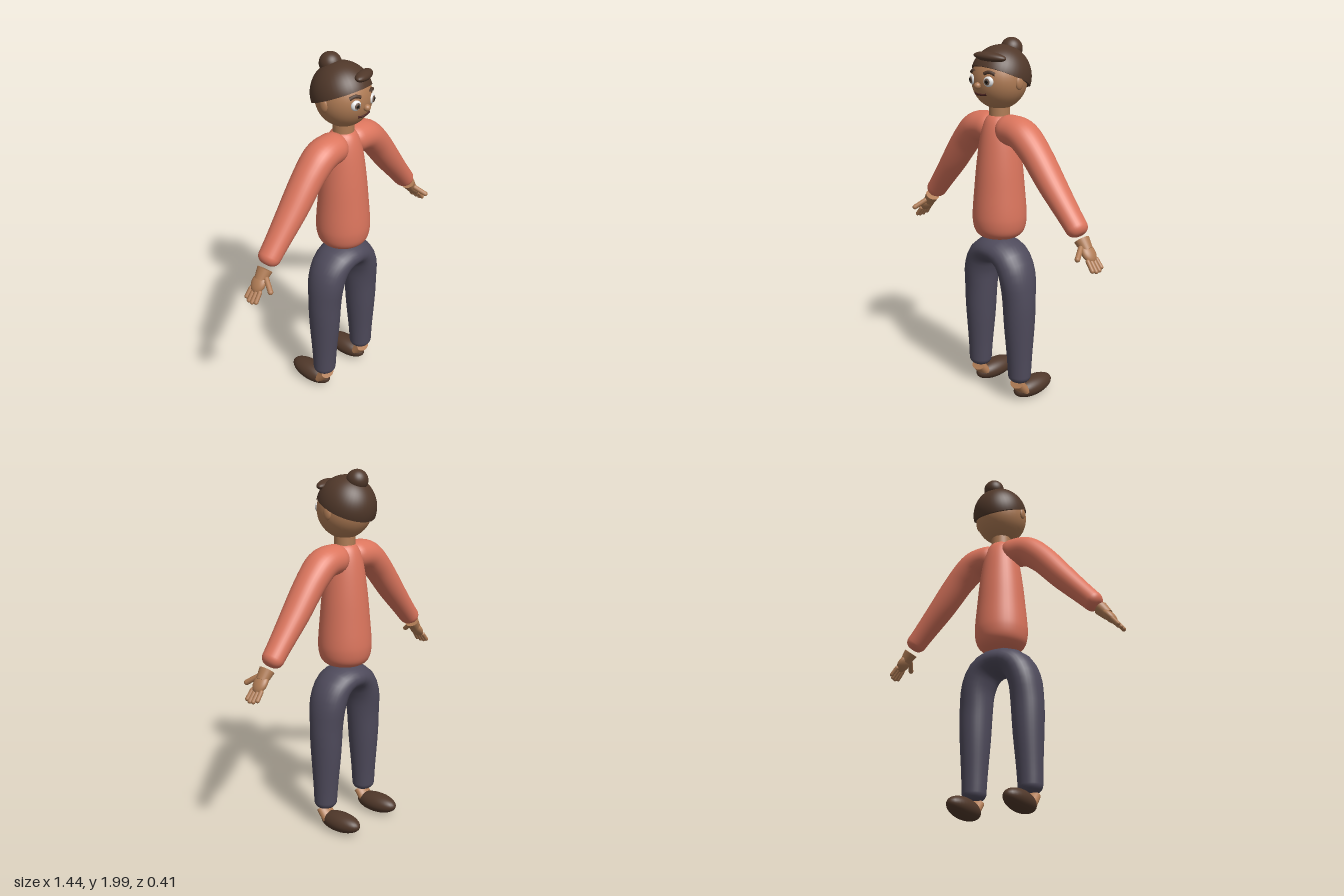
import * as THREE from 'three';

const mat = (name, color) => {
  const m = new THREE.MeshStandardMaterial({ color });
  m.name = name;
  return m;
};

// Tube along a path in a plane of constant z, with changing oval section and rounded ends.
// Each stop is [u, in-plane radius, z radius]; c0 and c1 are the end roundings.
function sweep(points, stops, c0, c1) {
  const curve = new THREE.CatmullRomCurve3(points.map((p) => new THREE.Vector3(...p)), false, 'centripetal');
  const len = curve.getLength();
  const radii = (u) => {
    let i = 0;
    while (i < stops.length - 2 && u > stops[i + 1][0]) i++;
    const [a, b] = [stops[i], stops[i + 1]];
    const t = THREE.MathUtils.smootherstep(u, a[0], b[0]) * 0.4 + 0.6 * THREE.MathUtils.clamp((u - a[0]) / (b[0] - a[0]), 0, 1);
    return [a[1] + (b[1] - a[1]) * t, a[2] + (b[2] - a[2]) * t];
  };
  // Rings as [u, inset]
  const rings = [[0, 1]];
  const steps = 8, mid = 40, u0 = c0 / len, u1 = 1 - c1 / len;
  for (let i = 0; i < steps; i++) {
    const a = (i / steps) * Math.PI / 2;
    rings.push([u0 * (1 - Math.cos(a)), c0 * (1 - Math.sin(a))]);
  }
  for (let i = 0; i <= mid; i++) rings.push([u0 + (u1 - u0) * i / mid, 0]);
  for (let i = steps - 1; i >= 0; i--) {
    const a = (i / steps) * Math.PI / 2;
    rings.push([1 - (1 - u1) * (1 - Math.cos(a)), c1 * (1 - Math.sin(a))]);
  }
  rings.push([1, 1]);
  const n = 32, pos = [], idx = [];
  rings.forEach(([u, inset], i) => {
    const p = curve.getPointAt(u), t = curve.getTangentAt(u);
    const [rn, rz] = radii(u).map((r) => Math.max(r - inset, 0));
    for (let j = 0; j < n; j++) {
      const a = (j / n) * Math.PI * 2, c = Math.cos(a) * rn;
      pos.push(p.x - t.y * c, p.y + t.x * c, p.z + Math.sin(a) * rz);
      if (i === rings.length - 1) continue;
      const k = (j + 1) % n, q = i * n, r = q + n;
      idx.push(q + j, q + k, r + k, q + j, r + k, r + j);
    }
  });
  const g = new THREE.BufferGeometry();
  g.setAttribute('position', new THREE.Float32BufferAttribute(pos, 3));
  g.setIndex(idx);
  g.computeVertexNormals();
  return g;
}

export function createModel() {
  const skin = mat('skin', 0xb07c55);
  const sweater = mat('sweater', 0xdb755d);
  const pants = mat('trousers', 0x4e4a5b);
  const brown = mat('hair and shoe brown', 0x50382a);
  const white = mat('eye white', 0xeeeeee);
  const iris = mat('iris', 0x6a5344);
  const dark = mat('pupil', 0x17130f);
  const lip = mat('mouth', 0x4a2420);

  const model = new THREE.Group();
  const Z = 0.033;
  const add = (parent, name, geo, material, pos = [0, 0, 0], scale = [1, 1, 1], rot = [0, 0, 0]) => {
    const m = new THREE.Mesh(geo, material);
    m.name = name;
    m.position.set(...pos);
    m.scale.set(...scale);
    m.rotation.set(...rot);
    parent.add(m);
    return m;
  };
  const ball = new THREE.SphereGeometry(1, 32, 24);
  const group = (name) => {
    const g = new THREE.Group();
    g.name = name;
    model.add(g);
    return g;
  };

  // Torso and neck
  const profile = [[0, 0.935], [0.07, 0.937], [0.11, 0.95], [0.135, 0.98], [0.146, 1.03], [0.146, 1.09], [0.137, 1.2],
    [0.124, 1.34], [0.105, 1.48], [0.085, 1.56], [0.06, 1.6], [0.03, 1.61], [0, 1.61]];
  const outline = new THREE.SplineCurve(profile.map((p) => new THREE.Vector2(...p))).getPoints(60);
  outline.forEach((p) => { p.x = Math.max(p.x, 0); });
  add(model, 'torso', new THREE.LatheGeometry(outline, 40), sweater, [0, 0, Z]);
  add(model, 'neck', new THREE.CylinderGeometry(0.056, 0.056, 0.12, 32), skin, [0, 1.62, Z]);

  // Trousers: one arched tube from ankle to ankle
  const leg = [[0.165, 0.122, Z + 0.002], [0.16, 0.4, Z], [0.155, 0.62, Z], [0.142, 0.74, Z], [0.105, 0.82, Z], [0.055, 0.856, Z]];
  const mirrored = leg.map(([x, y, z]) => [-x, y, z]).reverse();
  add(model, 'trousers', sweep([...leg, [0, 0.864, Z], ...mirrored],
    [[0, 0.064, 0.062], [0.28, 0.088, 0.093], [0.39, 0.086, 0.112], [0.5, 0.072, 0.124],
      [0.61, 0.086, 0.112], [0.72, 0.088, 0.093], [1, 0.064, 0.062]], 0.04, 0.04), pants);

  // Head
  const head = group('head');
  const hc = [0, 1.79, Z], hr = [0.146, 0.155, 0.148];
  add(head, 'skull', ball, skin, hc, hr);
  const onFace = (x, y, out = 0) => new THREE.Vector3(x, y,
    hc[2] + out + hr[2] * Math.sqrt(1 - (x / hr[0]) ** 2 - ((y - hc[1]) / hr[1]) ** 2));
  const strip = (pts, r) => new THREE.TubeGeometry(
    new THREE.CatmullRomCurve3(pts.map(([x, y]) => onFace(x, y, 0.001))), 20, r, 10);
  add(head, 'nose', ball, skin, [0, 1.768, 0.184], [0.019, 0.018, 0.019]);
  add(head, 'mouth', strip([[-0.045, 1.726], [-0.02, 1.721], [0, 1.722], [0.02, 1.721], [0.045, 1.726]], 0.006), lip);

  // Hair: tilted cap, bun and fringe
  const cap = [0, 1.802, 0.021], capScale = [0.154, 0.165, 0.165], tilt = 0.41;
  add(head, 'hairCap', new THREE.SphereGeometry(1, 40, 20, 0, Math.PI * 2, 0, Math.PI / 2), brown, cap, capScale, [-tilt, 0, 0]);
  add(head, 'hairCapUnderside', new THREE.CircleGeometry(1, 40), brown, cap, [0.154, 0.165, 1], [Math.PI / 2 - tilt, 0, 0]);
  add(head, 'bun', ball, brown, [0, 1.942, -0.053], [0.058, 0.058, 0.058]);
  add(head, 'fringe', ball, brown, [0.037, 1.913, 0.132], [0.092, 0.025, 0.036], [0, 0.35, -0.08]);

  for (const s of [1, -1]) {
    const side = s > 0 ? 'left' : 'right';

    // Eye, brow and ear
    const eye = group(side + 'Eye');
    eye.position.copy(onFace(s * 0.062, 1.793));
    eye.rotation.y = s * 0.3;
    add(eye, 'eyeWhite', ball, white, [0, 0, -0.004], [0.028, 0.027, 0.016]);
    add(eye, 'iris', ball, iris, [-s * 0.002, 0, 0.008], [0.017, 0.017, 0.006]);
    add(eye, 'pupil', ball, dark, [-s * 0.002, 0, 0.0125], [0.009, 0.009, 0.003]);
    add(head, side + 'Brow', strip([[s * 0.036, 1.832], [s * 0.062, 1.84], [s * 0.09, 1.829]], 0.009), brown);
    add(head, side + 'Ear', ball, skin, [s * 0.143, 1.782, 0.026], [0.014, 0.036, 0.025]);

    // Sleeve
    add(model, side + 'Sleeve', sweep(
      [[s * 0.015, 1.525, Z], [s * 0.09, 1.532, Z], [s * 0.17, 1.52, Z], [s * 0.25, 1.457, Z - 0.002], [s * 0.4, 1.28, Z - 0.006], [s * 0.585, 1.07, Z - 0.012]],
      [[0, 0.08, 0.086], [0.2, 0.082, 0.092], [0.45, 0.075, 0.083], [1, 0.053, 0.06]], 0.07, 0.042), sweater);

    // Hand: cuff of the wrist, palm, four fingers and thumb
    const hand = group(side + 'Hand');
    hand.position.set(s * 0.597, 1.052, 0.026);
    hand.rotation.z = s * 0.68;
    add(hand, 'wrist', new THREE.CylinderGeometry(0.038, 0.029, 0.06, 28), skin, [0, -0.03, 0], [1, 1, 1.12]);
    add(hand, 'palm', ball, skin, [0, -0.075, 0], [0.025, 0.055, 0.043]);
    [0.07, 0.082, 0.084, 0.076].forEach((l, i) => {
      add(hand, 'finger', new THREE.CapsuleGeometry(0.0115, l - 0.023, 6, 14), skin,
        [0, -0.105 - l / 2, -0.033 + i * 0.022], [1, 1, 1], [(1.5 - i) * 0.04, 0, 0]);
    });
    add(hand, 'thumb', new THREE.CapsuleGeometry(0.014, 0.075, 6, 14), skin, [0, -0.066, 0.062], [1, 1, 1], [-0.85, 0, 0]);

    // Ankle and shoe
    add(model, side + 'Ankle', new THREE.CylinderGeometry(0.046, 0.05, 0.075, 28), skin,
      [s * 0.163, 0.085, 0.03], [1, 1, 0.65], [0.75, 0, 0]);
    add(model, side + 'Shoe', ball, brown, [s * 0.16, 0.061, -0.073], [0.064, 0.055, 0.135], [0.06, 0, 0]);
  }
  return model;
}
